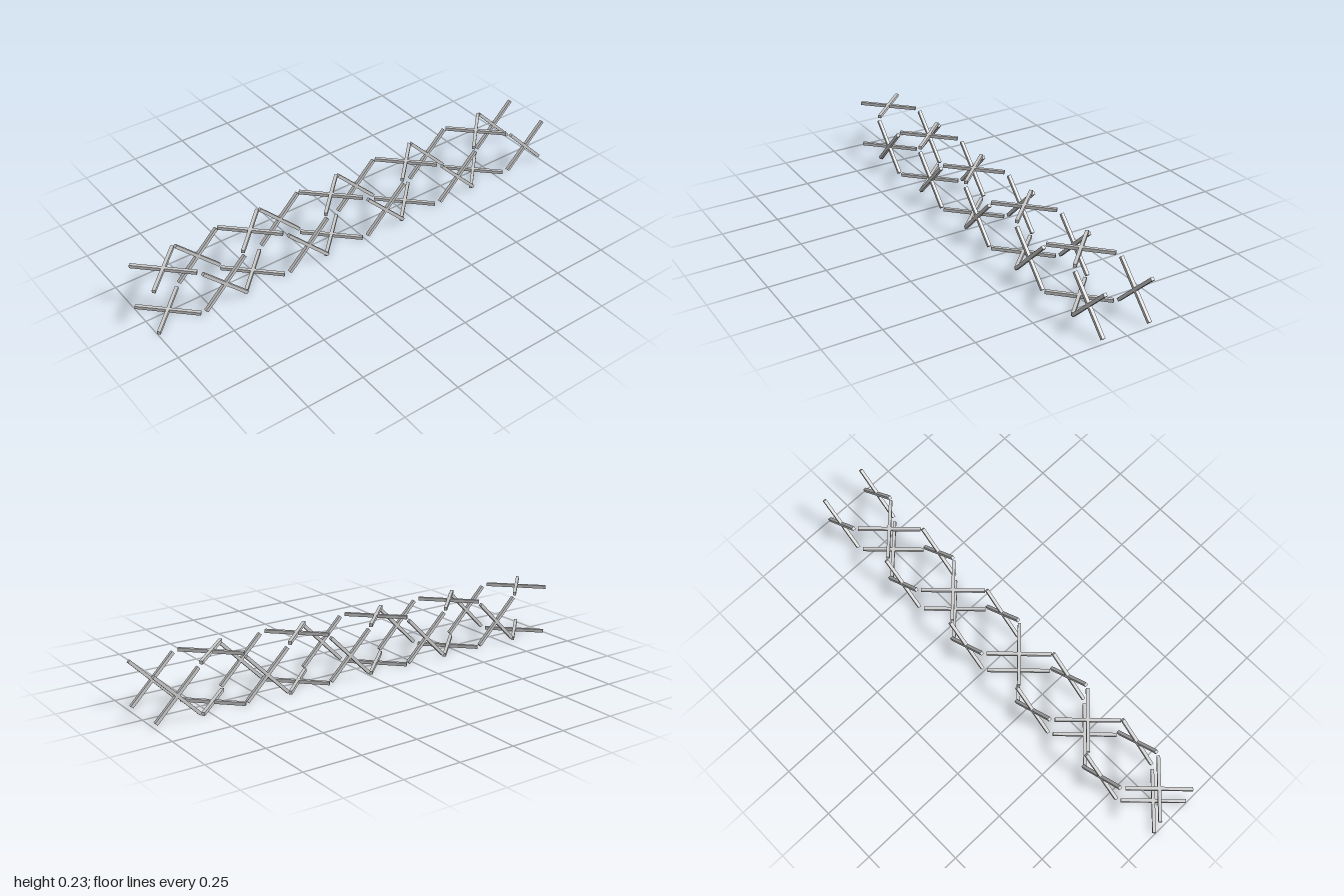
import * as THREE from 'three';

const T = 0.014;                     // square bar thickness
const SPAN = 0.2;                    // width and height of each cross
const LENGTH = SPAN * Math.SQRT2 - T; // diagonal bar length
const PITCH = 0.398;                 // distance between repeats
const OFFSET = 0.106;                // distance of each truss face from the axis
const MID_Y = 0.113;

export function createModel() {
  const model = new THREE.Group();
  model.name = 'crossBracedTruss';
  const material = new THREE.MeshStandardMaterial({ color: 0xcccccc, flatShading: true });
  const barGeometry = new THREE.BoxGeometry(LENGTH, T, T);

  // Two diagonal bars crossing in the XY plane
  function makeCross(name) {
    const cross = new THREE.Group();
    cross.name = name;
    for (const s of [-1, 1]) {
      const bar = new THREE.Mesh(barGeometry, material);
      bar.name = s > 0 ? 'risingBar' : 'fallingBar';
      bar.rotation.z = s * Math.PI / 4;
      cross.add(bar);
    }
    model.add(cross);
    return cross;
  }

  for (let i = 0; i < 5; i++) {
    for (const s of [-1, 1]) {
      // Horizontal crosses on the top and bottom, starting at the right end
      const flat = makeCross(s > 0 ? 'topCross' : 'bottomCross');
      flat.rotation.x = Math.PI / 2;
      flat.position.set(-0.9 + i * PITCH, MID_Y + s * OFFSET, 0);

      // Upright crosses on the front and back, ending at the left end
      const upright = makeCross(s > 0 ? 'frontCross' : 'backCross');
      upright.position.set(0.9 - i * PITCH, MID_Y, s * OFFSET);
    }
  }
  return model;
}
